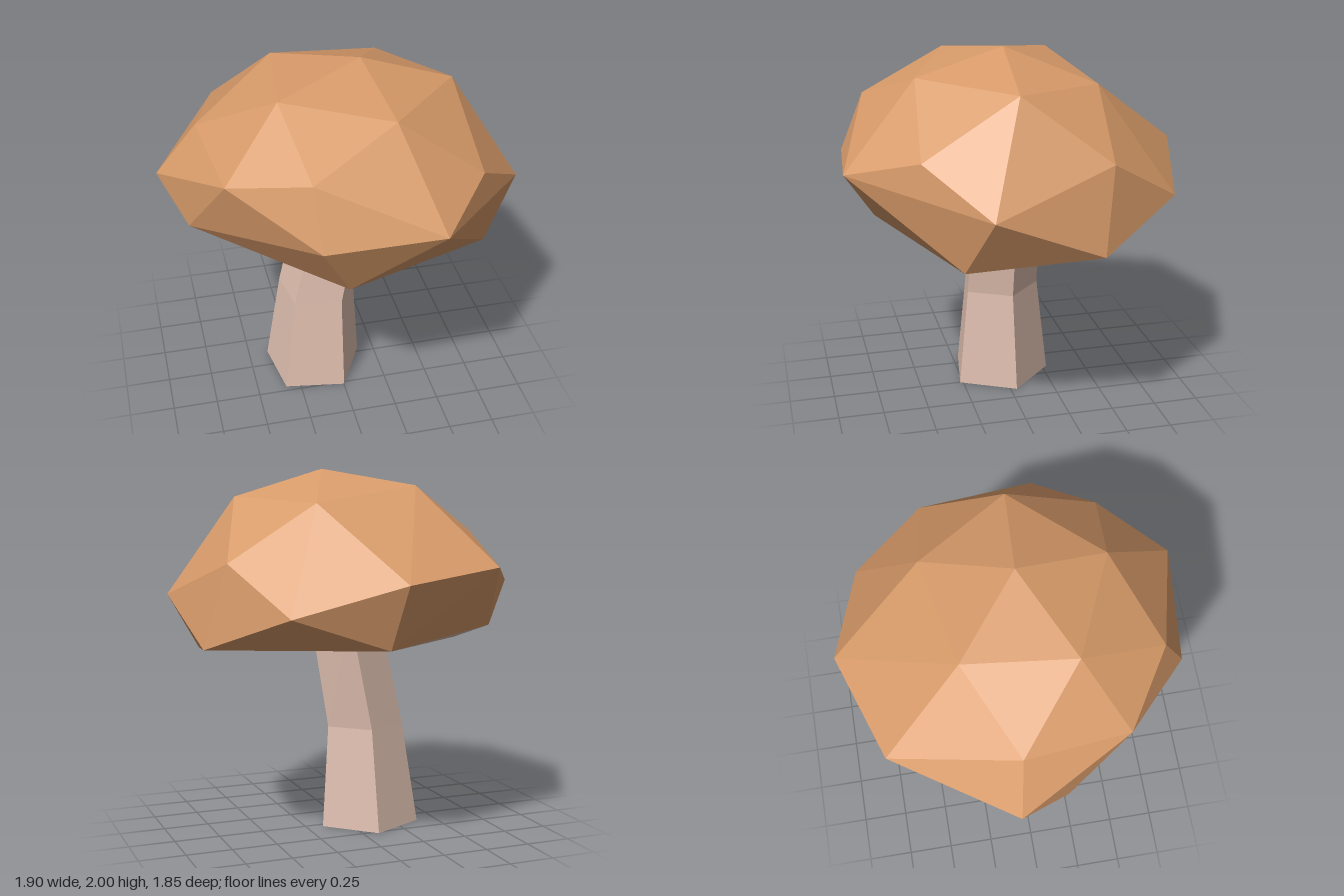
import * as THREE from 'three';
import { ConvexGeometry } from 'three/addons/geometries/ConvexGeometry.js';

const material = (name, color) => {
  const m = new THREE.MeshStandardMaterial({ color, flatShading: true });
  m.name = name;
  return m;
};

// Corner points of the faceted cap, from the crown down
const CAP_POINTS = [
  // crown
  [0.13, 2.0, 0.04], [-0.35, 1.92, 0.28], [0.2, 1.87, 0.52],
  [0.62, 1.85, 0.07], [0.33, 1.82, -0.42], [-0.28, 1.91, -0.3],
  // shoulder
  [-0.73, 1.66, -0.06], [-0.27, 1.7, 0.74], [0.65, 1.55, 0.57],
  [0.79, 1.52, -0.37], [-0.66, 1.6, 0.5],
  // widest band
  [0.95, 1.32, 0.27], [0.36, 1.43, 0.92], [-0.25, 1.39, 0.87],
  [-0.95, 1.37, -0.1], [-0.56, 1.49, -0.73], [0.04, 1.43, -0.93],
  [0.59, 1.27, -0.77],
  // lower rim
  [0.9, 1.08, -0.3], [0.75, 1.0, 0.38], [-0.08, 1.05, 0.72],
  [-0.82, 1.19, 0.17], [-0.61, 1.17, -0.53], [-0.49, 1.09, -0.36],
  [0.09, 1.1, -0.82],
];

// Splits the hull into its outer skin and its nearly flat underside
function capGeometries() {
  const hull = new ConvexGeometry(CAP_POINTS.map((p) => new THREE.Vector3(...p)));
  const pos = hull.attributes.position;
  const skin = [], under = [];
  const tri = new THREE.Triangle(), n = new THREE.Vector3();
  for (let i = 0; i < pos.count; i += 3) {
    tri.setFromAttributeAndIndices(pos, i, i + 1, i + 2);
    tri.getNormal(n);
    const target = n.y < -0.85 ? under : skin;
    for (const v of [tri.a, tri.b, tri.c]) target.push(v.x, v.y, v.z);
  }
  return [skin, under].map((list) => {
    const g = new THREE.BufferGeometry();
    g.setAttribute('position', new THREE.Float32BufferAttribute(list, 3));
    g.computeVertexNormals();
    return g;
  });
}

// Five-sided stem that tapers, then bends towards +x
function stemGeometry() {
  const rings = [
    { y: 0, r: 0.29, x: -0.13, z: 0.01 },
    { y: 0.57, r: 0.225, x: -0.105, z: 0.015 },
    { y: 1.2, r: 0.205, x: 0.02, z: 0.01 },
  ];
  const start = THREE.MathUtils.degToRad(99);
  const g = new THREE.CylinderGeometry(1, 1, 2, 5, 2, false, start).toNonIndexed();
  const pos = g.attributes.position;
  for (let i = 0; i < pos.count; i++) {
    const k = rings[Math.round(pos.getY(i)) + 1];
    pos.setXYZ(i, k.x + pos.getX(i) * k.r, k.y, k.z + pos.getZ(i) * k.r);
  }
  g.computeVertexNormals();
  return g;
}

export function createModel() {
  const brown = material('cap brown', 0xd79a69);
  const cream = material('pale flesh', 0xe0c0b0);

  const model = new THREE.Group();
  model.name = 'mushroom';
  const add = (name, geometry, mat) => {
    const mesh = new THREE.Mesh(geometry, mat);
    mesh.name = name;
    model.add(mesh);
  };

  const [skin, under] = capGeometries();
  add('cap', skin, brown);
  add('capUnderside', under, cream);
  add('stem', stemGeometry(), cream);
  return model;
}
